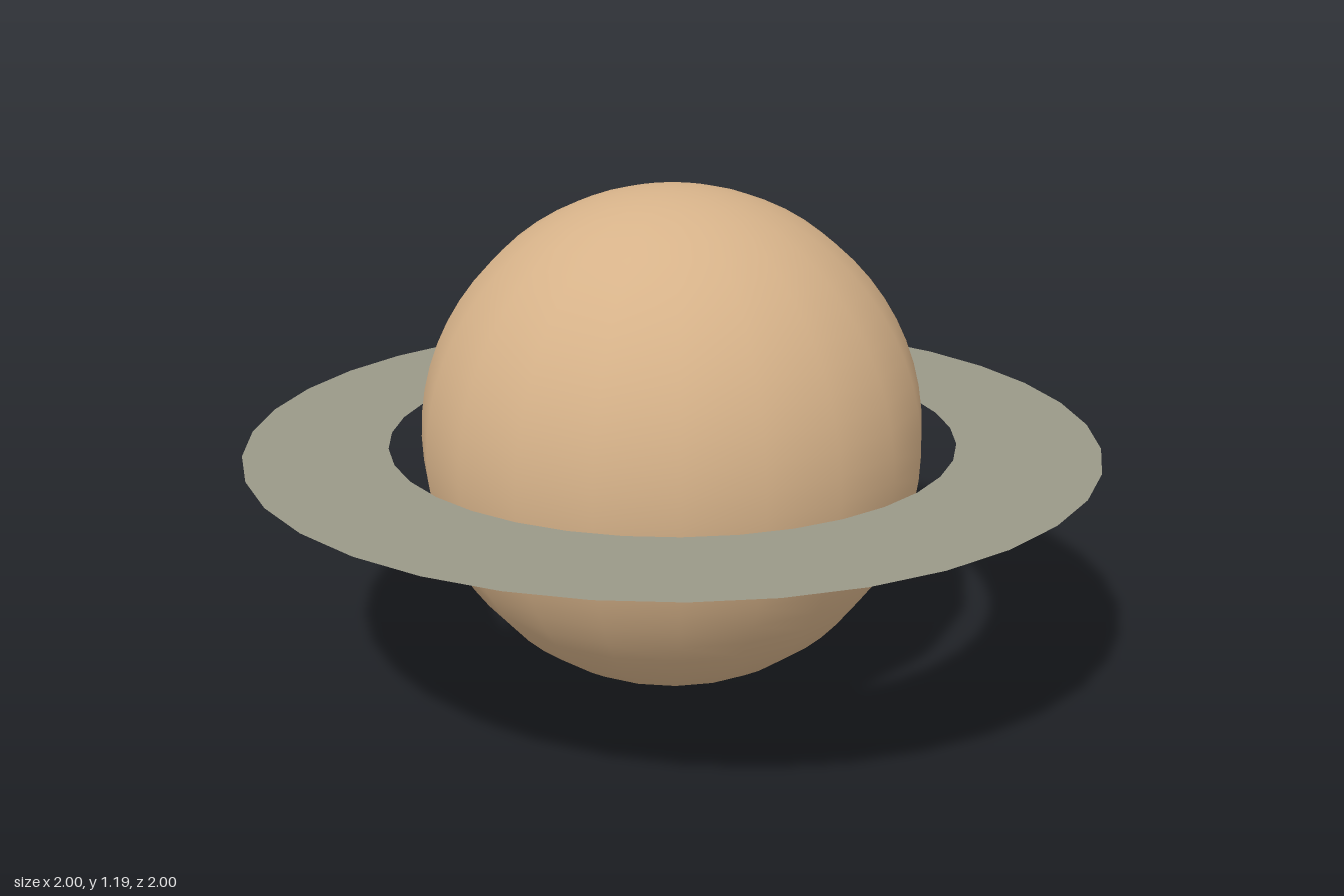
import * as THREE from 'three';

const PLANET_RADIUS = 0.593;
const RING_INNER = 0.667;
const RING_OUTER = 1.0;

export function createModel() {
  const model = new THREE.Group();
  model.name = 'ringedPlanet';

  const sand = new THREE.MeshStandardMaterial({ color: 0xd6b289 });
  sand.name = 'sand';
  const stoneGrey = new THREE.MeshStandardMaterial({ color: 0x9a9888, side: THREE.DoubleSide });
  stoneGrey.name = 'stoneGrey';

  // Smooth globe with twenty meridians
  const planet = new THREE.Mesh(new THREE.SphereGeometry(PLANET_RADIUS, 20, 32), sand);
  planet.name = 'planet';
  planet.position.y = PLANET_RADIUS;
  model.add(planet);

  // Flat ring lying around the equator, visible from both sides
  const ringGeometry = new THREE.RingGeometry(RING_INNER, RING_OUTER, 35);
  ringGeometry.rotateX(-Math.PI / 2);
  const ring = new THREE.Mesh(ringGeometry, stoneGrey);
  ring.name = 'ring';
  ring.position.y = PLANET_RADIUS;
  model.add(ring);

  return model;
}
